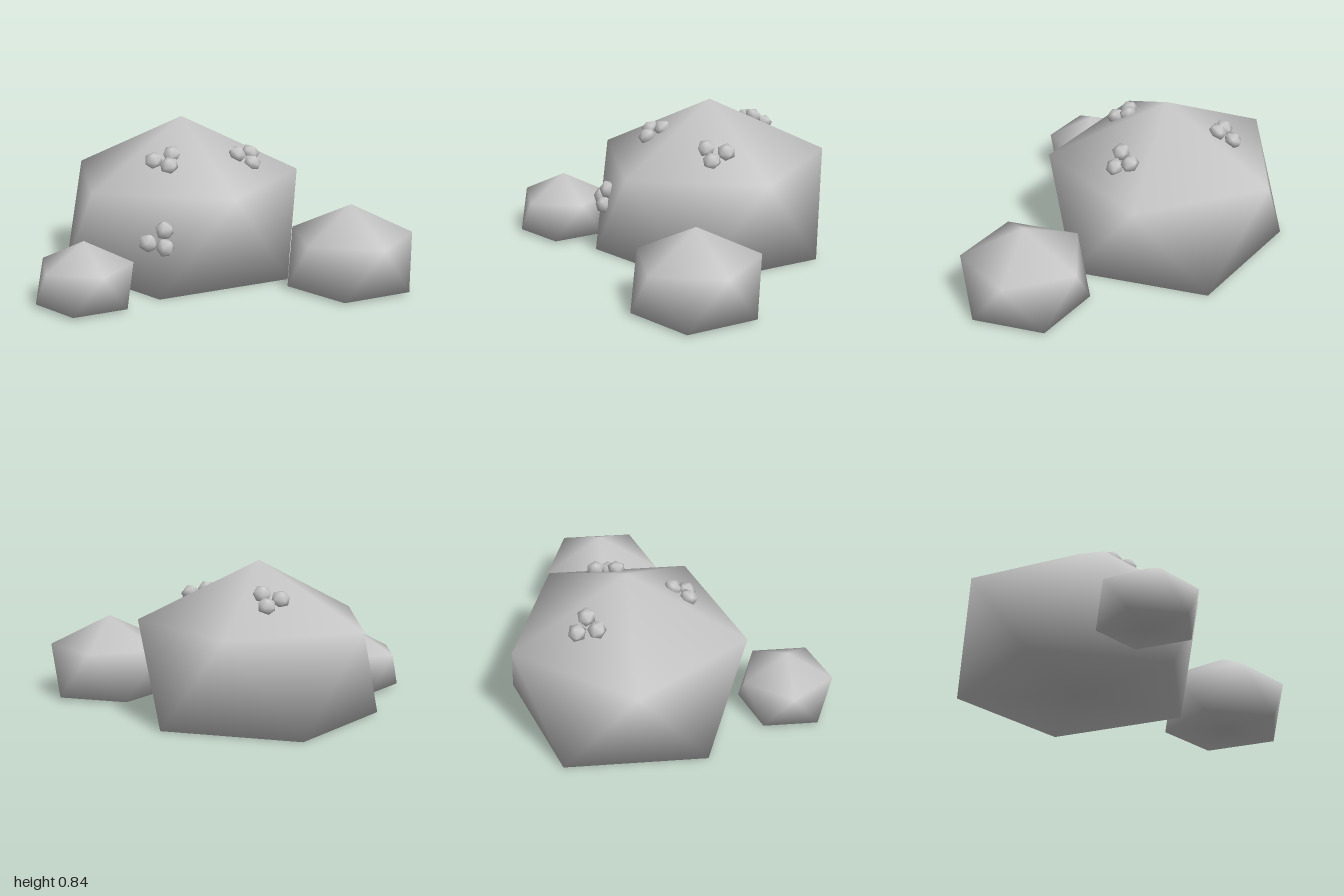
import * as THREE from 'three';
import { mergeVertices } from 'three/addons/utils/BufferGeometryUtils.js';

const material = new THREE.MeshStandardMaterial({ color: 0xcccccc });

// Twenty-sided ball with shared vertices, one corner pointing straight up
function ballGeometry(radius) {
  const g = new THREE.IcosahedronGeometry(radius, 0);
  g.deleteAttribute('normal');
  g.deleteAttribute('uv');
  const merged = mergeVertices(g, 1e-4);
  merged.rotateZ(-Math.atan(2 / (1 + Math.sqrt(5))));
  return merged;
}

// Boulder: squashed ball whose lowest corner is flattened into a base
function boulder(name, radius, x, y, z) {
  const g = ballGeometry(radius);
  g.scale(1, 0.8, 1);
  const p = g.attributes.position;
  const floor = -0.45 * 0.8 * radius;
  for (let i = 0; i < p.count; i++) p.setY(i, Math.max(p.getY(i), floor));
  g.computeVertexNormals();
  const mesh = new THREE.Mesh(g, material);
  mesh.name = name;
  mesh.position.set(x, y, z);
  return mesh;
}

// Cluster of three pebbles, slightly flattened against the face they sit on
function cluster(name, normal, points) {
  const group = new THREE.Group();
  group.name = name;
  const up = new THREE.Vector3(0, 1, 0);
  const dir = new THREE.Vector3(...normal).normalize();
  points.forEach((point, i) => {
    const g = ballGeometry(0.052);
    g.scale(1, 0.8, 1);
    g.computeVertexNormals();
    const mesh = new THREE.Mesh(g, material);
    mesh.name = 'pebble' + (i + 1);
    mesh.position.set(...point);
    mesh.quaternion.setFromUnitVectors(up, dir);
    mesh.rotateY(i * 0.8);
    group.add(mesh);
  });
  return group;
}

export function createModel() {
  const model = new THREE.Group();
  model.name = 'rockGroup';

  // Rocks
  model.add(
    boulder('largeRock', 0.721, -0.165, 0.26, -0.13),
    boulder('leftRock', 0.375, 0.66, 0.147, 0.4),
    boulder('rightRock', 0.28, -0.75, 0.116, 0.5),
  );

  // Pebble clusters on the large rock
  model.add(
    cluster('backCluster', [-0.16, 0.85, -0.5], [
      [-0.19, 0.65, -0.49], [-0.265, 0.675, -0.42], [-0.17, 0.7, -0.41],
    ]),
    cluster('leftCluster', [0.42, 0.85, 0.3], [
      [0.2, 0.645, -0.03], [0.115, 0.655, 0.045], [0.195, 0.607, 0.055],
    ]),
    cluster('topCluster', [-0.16, 0.85, 0.5], [
      [-0.35, 0.66, 0.145], [-0.25, 0.685, 0.12], [-0.275, 0.643, 0.2],
    ]),
    cluster('frontCluster', [-0.3, 0.2, 0.93], [
      [-0.33, 0.355, 0.425], [-0.415, 0.29, 0.42], [-0.33, 0.27, 0.45],
    ]),
  );

  return model;
}
